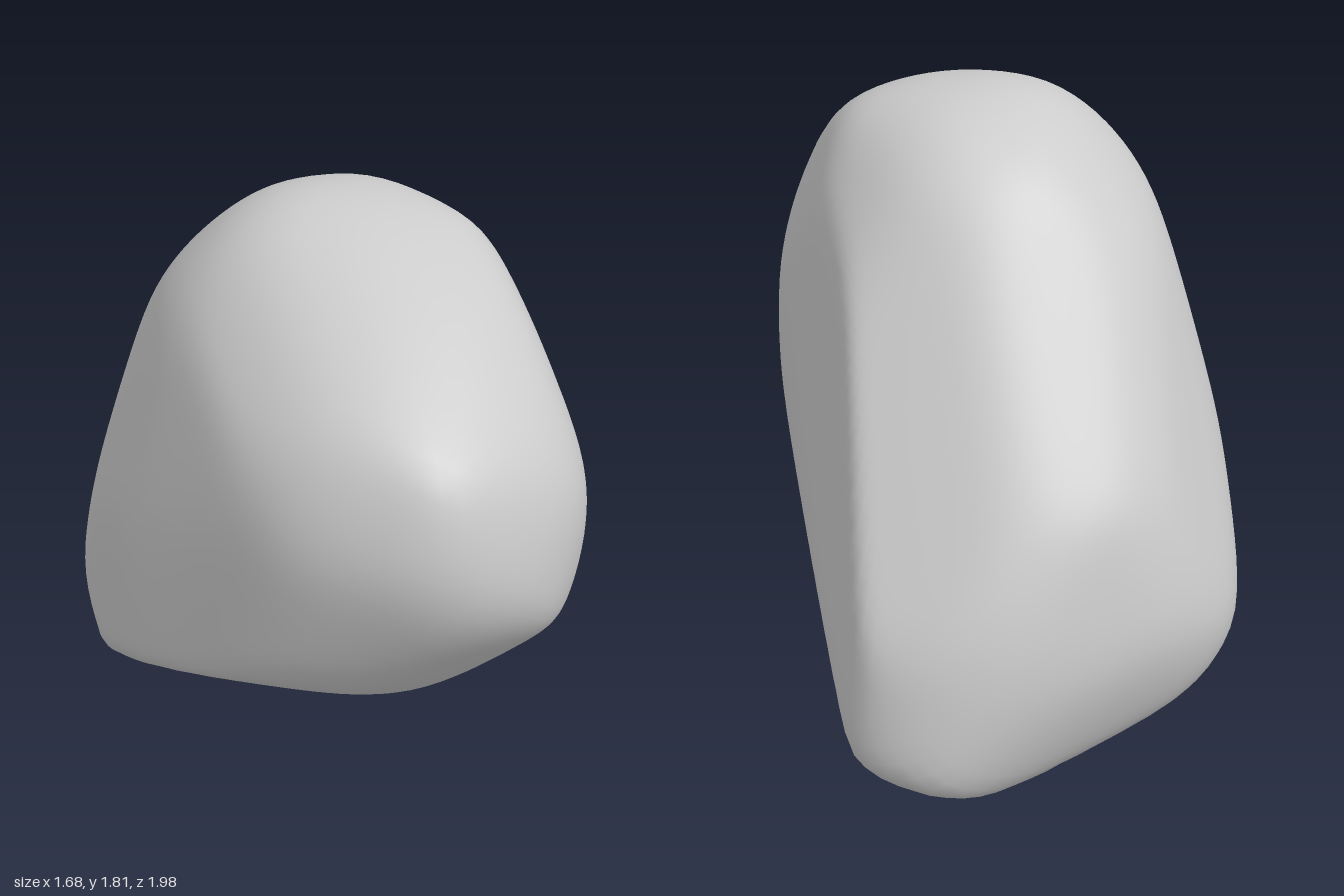
import * as THREE from 'three';
import { mergeVertices } from 'three/addons/utils/BufferGeometryUtils.js';

const MID = 0.925; // height of the boulder's middle
const SOFTNESS = 50; // higher gives tighter corners
const FILLET = 0.4; // radius that worn edges are rounded to

const X = new THREE.Vector3(1, 0, 0);
const Y = new THREE.Vector3(0, 1, 0);
const Z = new THREE.Vector3(0, 0, 1);

// Flat cuts through a convex outline drawn on the axes u and v
function cutsFrom(u, v, outline) {
  return outline.map(([ax, ay], i) => {
    const [bx, by] = outline[(i + 1) % outline.length];
    const length = Math.hypot(bx - ax, by - ay);
    const nx = (by - ay) / length, ny = (ax - bx) / length;
    const h = nx * ax + ny * ay;
    const normal = new THREE.Vector3().addScaledVector(u, nx).addScaledVector(v, ny);
    return { normal: normal.multiplyScalar(Math.sign(h)), h: Math.abs(h) };
  });
}

// Axes of a section plane turned by a heading and tipped by an elevation
function tilted(heading, elevation) {
  const turn = new THREE.Euler(
    THREE.MathUtils.degToRad(-elevation), THREE.MathUtils.degToRad(heading), 0, 'YXZ');
  return [X.clone().applyEuler(turn), Y.clone().applyEuler(turn)];
}

// Measures heights from the middle
const fromMiddle = (outline) => outline.map(([x, y]) => [x, y - MID]);

function mainCuts() {
  const across = fromMiddle([
    [0.3, 1.88], [0.64, 1.66], [0.89, 1.2], [0.82, 0.82], [-0.02, 0], [-0.4, -0.03],
    [-0.83, 0.15], [-0.88, 0.38], [-0.52, 1.46], [-0.3, 1.8], [-0.05, 1.88],
  ]);
  const along = fromMiddle([
    [0.25, 1.88], [-0.08, 1.88], [-0.25, 1.78], [-0.97, 0.55], [-1.03, 0.15], [-0.85, -0.03],
    [-0.45, -0.03], [-0.03, 0.08], [0.88, 0.68], [1.03, 1.18], [0.92, 1.48],
  ]);
  const plan = [
    [-0.2, -1.03], [0.02, -1.02], [0.18, -0.81], [0.77, 0.1], [0.9, 0.5], [0.82, 0.78],
    [0.58, 1.03], [0.18, 1], [-0.4, 0.63], [-0.85, 0.02], [-0.88, -0.26], [-0.8, -0.51],
    [-0.5, -0.85],
  ];
  const headEnd = [
    [0.18, 0.87], [0.46, 0.54], [0.61, -0.36], [0.48, -0.54], [0, -0.69],
    [-0.7, -0.51], [-0.7, -0.08], [-0.5, 0.58], [-0.15, 0.87],
  ];
  const tailEnd = [
    [0, 1.02], [0.28, 0.92], [0.5, 0.67], [0.7, 0], [0.69, -0.75],
    [0.5, -0.98], [-0.18, -1.2], [-0.62, -1.02], [-0.55, 0.42], [-0.35, 0.93],
  ];
  const broadSide = [
    [0.03, 0.91], [0.27, 0.77], [0.85, 0], [0.93, -0.45], [0.78, -0.82], [0.55, -0.9],
    [-0.7, -0.45], [-1.13, 0.03], [-1.06, 0.4], [-0.68, 0.75], [-0.38, 0.9],
  ];
  return [
    cutsFrom(X, Y, across),
    cutsFrom(Z, Y, along),
    cutsFrom(X, Z, plan),
    cutsFrom(...tilted(35, 25), headEnd),
    cutsFrom(...tilted(215, 25), tailEnd),
    cutsFrom(...tilted(140, -12), broadSide),
  ];
}

// Worn edges: a cut halfway between two neighbours, touching a ball nestled against both
function wornCuts(sets) {
  const worn = [];
  sets.forEach((set, i) => sets.slice(i + 1).flat().forEach((b) => set.forEach((a) => {
    const cosine = a.normal.dot(b.normal);
    if (cosine < 0.64 || cosine > 0.95) return;
    const halfCosine = Math.sqrt((1 + cosine) / 2);
    const normal = a.normal.clone().add(b.normal).normalize();
    worn.push({ normal, h: ((a.h + b.h) / 2 - FILLET) / halfCosine + FILLET });
  })));
  return worn;
}

export function createModel() {
  // A smooth ball with shared vertices
  const ball = new THREE.IcosahedronGeometry(1, 24);
  ball.deleteAttribute('normal');
  ball.deleteAttribute('uv');
  const geometry = mergeVertices(ball, 1e-4);

  // Move each vertex out to the cuts, blending them softly where they meet
  const sets = mainCuts();
  const cuts = [...sets.flat(), ...wornCuts(sets)];
  const position = geometry.attributes.position;
  const d = new THREE.Vector3();
  for (let i = 0; i < position.count; i++) {
    d.fromBufferAttribute(position, i).normalize();
    const sum = cuts.reduce(
      (total, { normal, h }) => total + Math.max(0, normal.dot(d) / h) ** SOFTNESS, 0);
    d.multiplyScalar(sum ** (-1 / SOFTNESS));
    position.setXYZ(i, d.x, d.y, d.z);
  }
  geometry.computeVertexNormals();
  geometry.computeBoundingBox();

  // The boulder rests on the ground
  const boulder = new THREE.Mesh(geometry, new THREE.MeshStandardMaterial({ color: 0xcccccc }));
  boulder.name = 'boulder';
  boulder.position.y = -geometry.boundingBox.min.y;

  const group = new THREE.Group();
  group.name = 'rock';
  group.add(boulder);
  return group;
}
